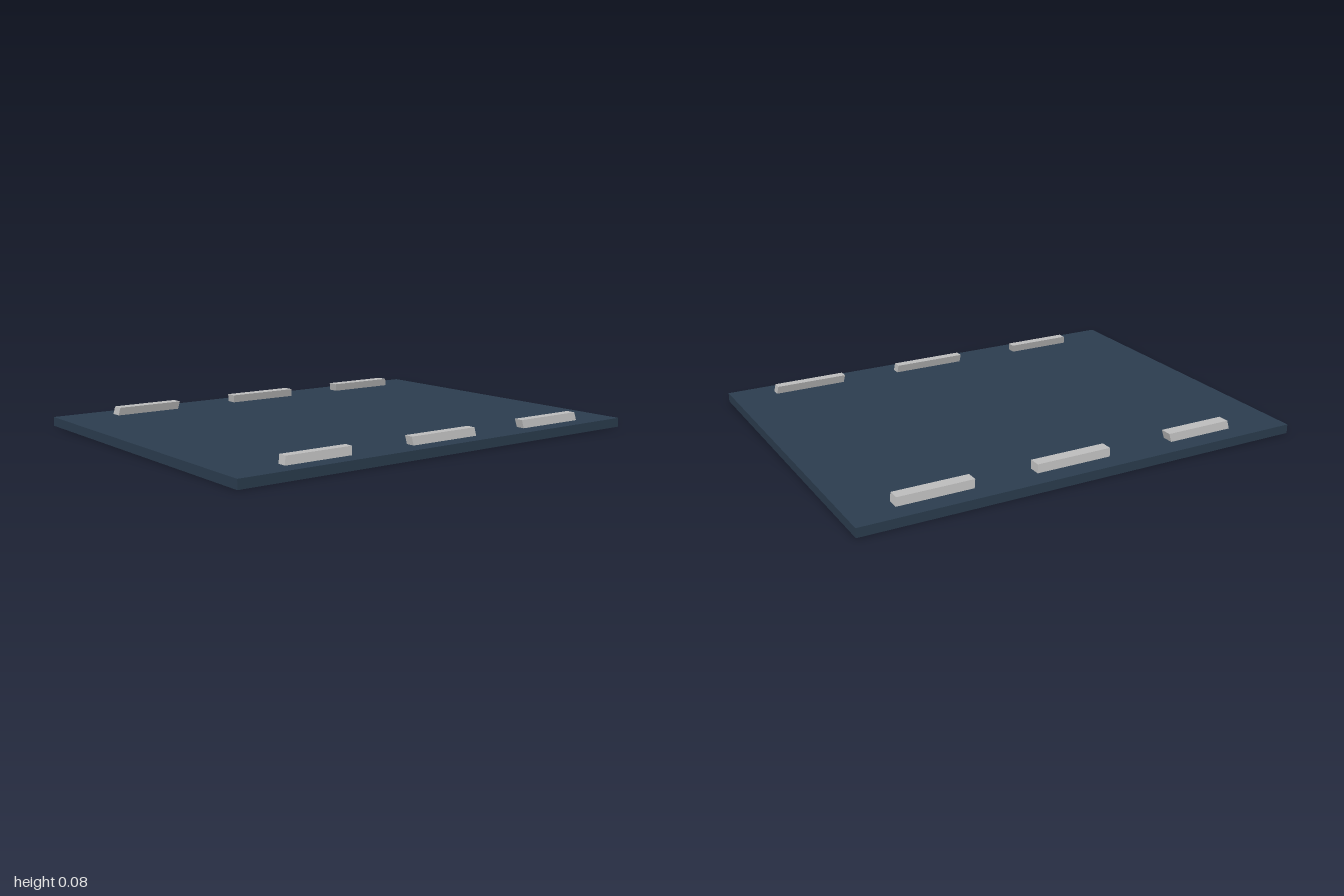
import * as THREE from 'three';

const BASE_TOP = 0.04;
const BAR_TOP = 0.075;

// A bar whose top face is shifted towards the middle of the slab
function leaningBar(x0, x1, z0, z1, leanX, leanZ) {
  const geometry = new THREE.BoxGeometry(x1 - x0, BAR_TOP - BASE_TOP, z1 - z0).toNonIndexed();
  const p = geometry.attributes.position;
  for (let i = 0; i < p.count; i++) {
    if (p.getY(i) > 0) p.setXYZ(i, p.getX(i) + leanX, p.getY(i), p.getZ(i) + leanZ);
  }
  geometry.translate((x0 + x1) / 2, (BASE_TOP + BAR_TOP) / 2, (z0 + z1) / 2);
  geometry.computeVertexNormals();
  return geometry;
}

export function createModel() {
  const model = new THREE.Group();
  model.name = 'slabWithBars';

  const navy = new THREE.MeshStandardMaterial({ color: 0x2c3e50 });
  navy.name = 'navy';
  const silver = new THREE.MeshStandardMaterial({ color: 0xc0c0c0 });
  silver.name = 'silver';

  // Flat slab
  const slab = new THREE.Mesh(new THREE.BoxGeometry(2, BASE_TOP, 1.535), navy);
  slab.name = 'slab';
  slab.position.y = BASE_TOP / 2;
  model.add(slab);

  // Three bars along the front edge and three along the back edge
  const columns = [
    { name: 'Right', x0: -0.75, x1: -0.445, lean: 0.007 },
    { name: 'Middle', x0: -0.138, x1: 0.2, lean: -0.004 },
    { name: 'Left', x0: 0.478, x1: 0.806, lean: -0.006 },
  ];
  const rows = [
    { name: 'front', z0: 0.652, z1: 0.693, lean: -0.007 },
    { name: 'back', z0: -0.681, z1: -0.629, lean: 0.006 },
  ];
  for (const row of rows) {
    for (const col of columns) {
      const bar = new THREE.Mesh(
        leaningBar(col.x0, col.x1, row.z0, row.z1, col.lean, row.lean), silver);
      bar.name = `${row.name}${col.name}Bar`;
      model.add(bar);
    }
  }
  return model;
}
